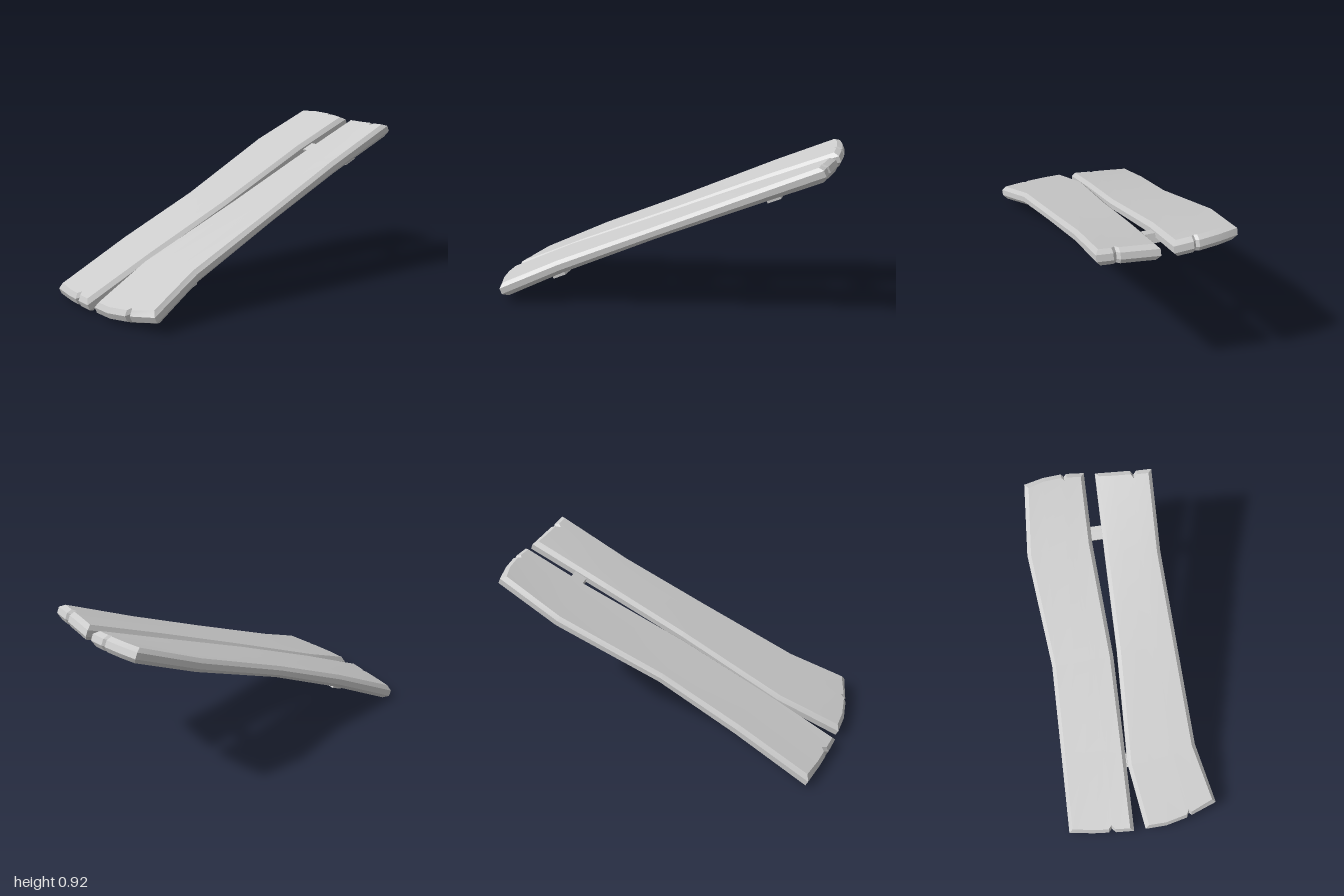
import * as THREE from 'three';
import { toCreasedNormals } from 'three/addons/utils/BufferGeometryUtils.js';

const SLOPE = 0.4; // tilt of the ramp, radians
const midHeight = x => 0.48 + 0.42 * x - 0.02 * x * x;

// Patch blended between two long edges (back, front) and two ends (left, right)
function patch(p, i, j) {
  const s = i / (p.back.length - 1), v = j / (p.left.length - 1);
  const L = p.left, R = p.right, m = L.length - 1;
  return [0, 1].map(k =>
    (1 - v) * p.back[i][k] + v * p.front[i][k] + (1 - s) * L[j][k] + s * R[j][k]
    - (1 - s) * (1 - v) * L[0][k] - (1 - s) * v * L[m][k]
    - s * (1 - v) * R[0][k] - s * v * R[m][k]);
}

function plankGeometry(p) {
  p.back = [p.left[0], ...p.back, p.right[0]];
  p.front = [p.left.at(-1), ...p.front, p.right.at(-1)];
  const nx = p.back.length, nz = p.left.length;
  const pos = [], index = [];
  // Four layers from underside to top; the outer two are inset for the chamfer
  const layers = [[-1, 0.024], [-0.4, 0], [0.45, 0], [1, 0.022]];
  for (const [n, inset] of layers)
    for (let i = 0; i < nx; i++)
      for (let j = 0; j < nz; j++) {
        let [x, z] = patch(p, i, j);
        x += i === 0 ? inset : i === nx - 1 ? -inset : 0;
        z += j === 0 ? inset : j === nz - 1 ? -inset : 0;
        const h = n * (0.034 + 0.009 * Math.abs(x));
        const warp = (x < 0 ? p.warp[0] : p.warp[1]) * x * x * Math.abs(z) / 0.4;
        pos.push(x - h * Math.sin(SLOPE), midHeight(x) + warp + h * Math.cos(SLOPE), z);
      }
  const id = (l, i, j) => (l * nx + i) * nz + j;
  const quad = (a, b, c, d) => index.push(a, b, c, a, c, d);
  // Top and underside
  for (let i = 0; i < nx - 1; i++)
    for (let j = 0; j < nz - 1; j++) {
      quad(id(3, i, j), id(3, i, j + 1), id(3, i + 1, j + 1), id(3, i + 1, j));
      quad(id(0, i, j), id(0, i + 1, j), id(0, i + 1, j + 1), id(0, i, j + 1));
    }
  // Chamfered rim
  const rim = [];
  for (let j = 0; j < nz - 1; j++) rim.push([0, j]);
  for (let i = 0; i < nx - 1; i++) rim.push([i, nz - 1]);
  for (let j = nz - 1; j > 0; j--) rim.push([nx - 1, j]);
  for (let i = nx - 1; i > 0; i--) rim.push([i, 0]);
  for (let l = 0; l < 3; l++)
    rim.forEach((a, k) => {
      const b = rim[(k + 1) % rim.length];
      quad(id(l, ...a), id(l, ...b), id(l + 1, ...b), id(l + 1, ...a));
    });
  const g = new THREE.BufferGeometry();
  g.setAttribute('position', new THREE.Float32BufferAttribute(pos, 3));
  g.setIndex(index);
  return toCreasedNormals(g, 0.4);
}

export function createModel() {
  const group = new THREE.Group();
  const material = new THREE.MeshStandardMaterial({ color: 0xcccccc });
  const add = (name, geometry) => {
    const mesh = new THREE.Mesh(geometry, material);
    mesh.name = name;
    group.add(mesh);
    return mesh;
  };

  // Planks: outlines as [x, z], with a small split in each end
  add('backPlank', plankGeometry({
    left: [[-0.94, -0.45], [-0.965, -0.3], [-0.975, -0.215], [-0.955, -0.195], [-0.98, -0.175], [-0.99, -0.065]],
    right: [[0.955, -0.4], [0.98, -0.29], [0.99, -0.18], [0.975, -0.165], [0.99, -0.15], [0.985, -0.045]],
    back: [[-0.5, -0.425], [-0.03, -0.4], [0.58, -0.445]],
    front: [[-0.55, -0.05], [-0.03, -0.034], [0.6, -0.057]],
    warp: [-0.035, 0.035],
  }));
  add('frontPlank', plankGeometry({
    left: [[-0.99, 0.005], [-0.99, 0.13], [-0.965, 0.26], [-0.94, 0.275], [-0.955, 0.29], [-0.905, 0.445]],
    right: [[0.975, 0.02], [0.965, 0.12], [0.955, 0.225], [0.93, 0.24], [0.95, 0.26], [0.945, 0.35]],
    back: [[-0.62, -0.045], [0, -0.008], [0.5, 0.005]],
    front: [[-0.57, 0.37], [0, 0.35], [0.5, 0.333]],
    warp: [0, 0.035],
  }));

  // Cross battens let into the underside
  for (const [name, x, y, z, length, roll] of [
    ['upperBatten', 0.66, 0.73, -0.005, 0.61, 0],
    ['lowerBatten', -0.59, 0.181, 0, 0.66, -0.03],
  ]) {
    const batten = add(name, new THREE.BoxGeometry(0.08, 0.055, length));
    batten.position.set(x, y, z);
    batten.rotation.set(roll, 0, SLOPE);
  }
  return group;
}
